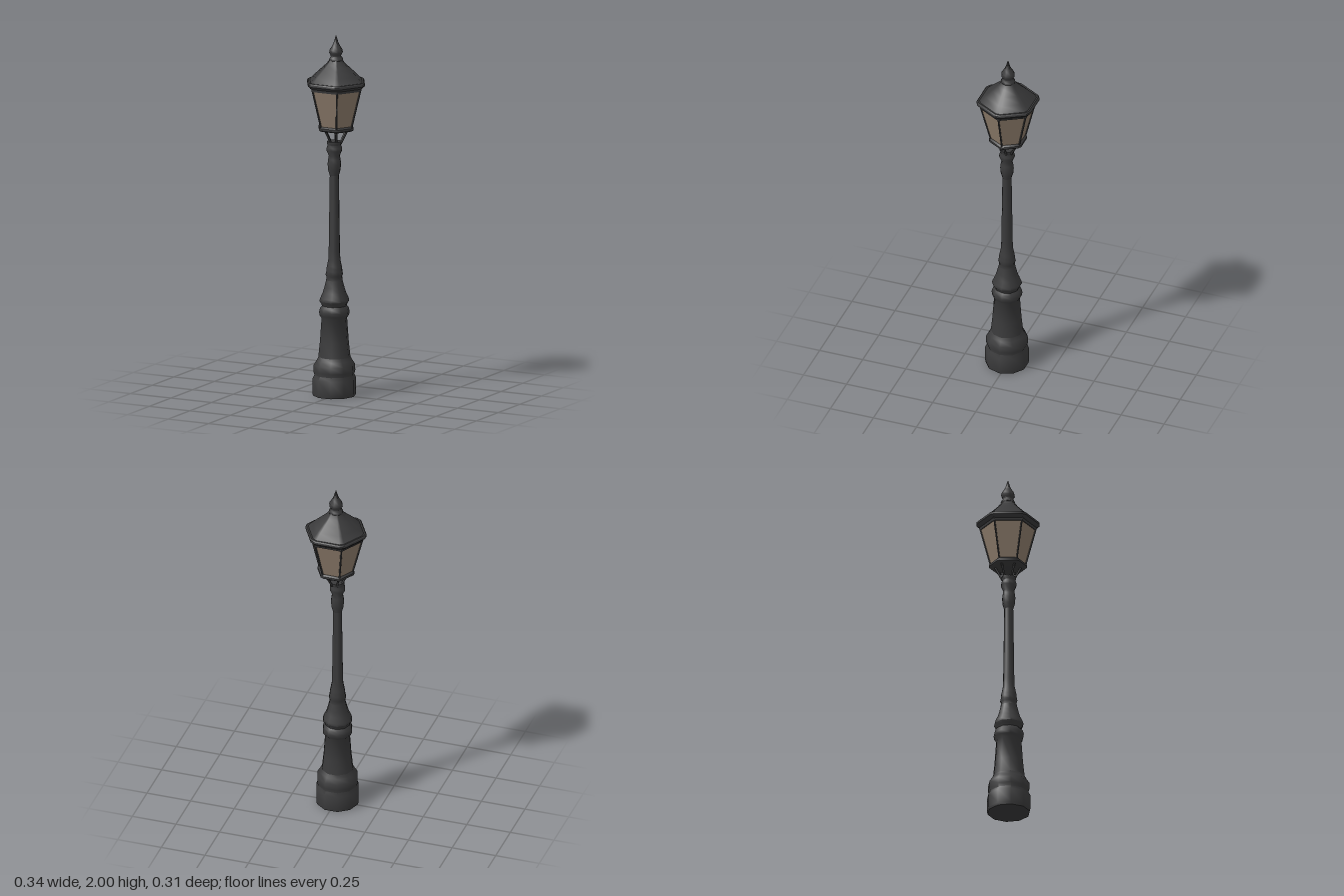
import * as THREE from 'three';
import { toCreasedNormals } from 'three/addons/utils/BufferGeometryUtils.js';

// Regular outline of n points on the unit circle
const ring = (n) => Array.from({ length: n }, (_, i) => {
  const a = (i / n) * Math.PI * 2;
  return [Math.cos(a), Math.sin(a)];
});

// Hexagon whose corners are cut by a small fraction of each side
const cutHex = (cut) => ring(6).flatMap((p, i, hex) => {
  const mix = (q) => [p[0] + (q[0] - p[0]) * cut, p[1] + (q[1] - p[1]) * cut];
  return [mix(hex[(i + 5) % 6]), mix(hex[(i + 1) % 6])];
});

// Skin an outline, scaled along a bottom-to-top profile of [radius, height]
function loft(outline, profile, crease) {
  const n = outline.length, pos = [], index = [];
  for (const [r, y] of profile) for (const [x, z] of outline) pos.push(x * r, y, z * r);
  for (let i = 0; i < profile.length - 1; i++) {
    for (let j = 0; j < n; j++) {
      const a = i * n + j, b = i * n + (j + 1) % n;
      if (profile[i + 1][0] > 0) index.push(a, a + n, b + n);
      if (profile[i][0] > 0) index.push(a, b + n, b);
    }
  }
  const g = new THREE.BufferGeometry();
  g.setAttribute('position', new THREE.Float32BufferAttribute(pos, 3));
  g.setIndex(index);
  return toCreasedNormals(g, crease);
}

export function createModel() {
  const iron = new THREE.MeshStandardMaterial({ color: 0x3a3a3b });
  iron.name = 'darkIron';
  const glass = new THREE.MeshStandardMaterial({ color: 0x8d7c6b });
  glass.name = 'smokedGlass';

  const model = new THREE.Group();
  model.name = 'streetLamp';
  const add = (name, geometry, material, parent = model) => {
    const mesh = new THREE.Mesh(geometry, material);
    mesh.name = name;
    parent.add(mesh);
    return mesh;
  };

  // Round bar between two points
  const bar = (name, from, to, radius, parent) => {
    const a = new THREE.Vector3(...from), b = new THREE.Vector3(...to);
    const mesh = add(name, new THREE.CylinderGeometry(radius, radius, a.distanceTo(b), 6), iron, parent);
    mesh.position.copy(a).add(b).multiplyScalar(0.5);
    mesh.quaternion.setFromUnitVectors(new THREE.Vector3(0, 1, 0), b.sub(a).normalize());
  };

  // Post: plinth, tapered pedestal, shaft and capital
  const post = new THREE.Group();
  post.name = 'post';
  post.position.set(-0.006, 0, 0.008);
  model.add(post);
  const round = ring(10);
  add('plinth', loft(round, [
    [0, 0], [0.117, 0], [0.12, 0.015], [0.12, 0.095], [0.109, 0.115],
    [0.115, 0.135], [0.114, 0.17], [0.098, 0.195], [0.088, 0.215],
  ], 0.9), iron, post);
  add('pedestal', loft(round, [
    [0.088, 0.215], [0.079, 0.3], [0.07, 0.43], [0.081, 0.445], [0.084, 0.465],
    [0.079, 0.485], [0.068, 0.498], [0.072, 0.51], [0.082, 0.525], [0.078, 0.54],
    [0.064, 0.57], [0.055, 0.6], [0.045, 0.64],
  ], 0.9), iron, post);
  add('shaft', loft(round, [
    [0.045, 0.64], [0.043, 0.66], [0.048, 0.67], [0.044, 0.69], [0.043, 0.705],
    [0.04, 0.72], [0.033, 0.755], [0.031, 0.8], [0.025, 1.22],
  ], 0.9), iron, post);
  add('capital', loft(round, [
    [0.025, 1.22], [0.034, 1.25], [0.037, 1.285], [0.034, 1.31], [0.03, 1.33],
    [0.043, 1.36], [0.042, 1.375], [0.036, 1.39], [0.041, 1.4], [0.04, 1.41], [0, 1.413],
  ], 0.9), iron, post);

  // Lantern: six-sided, with a corner on the x axis
  const lantern = new THREE.Group();
  lantern.name = 'lantern';
  model.add(lantern);
  const hex = ring(6), softHex = cutHex(0.09);
  add('lanternFloor', loft(softHex, [
    [0, 1.472], [0.1, 1.472], [0.108, 1.478], [0.108, 1.49], [0.098, 1.498], [0, 1.498],
  ], 0.7), iron, lantern);
  add('glassPanes', loft(hex, [[0.094, 1.492], [0.152, 1.715]], 0.3), glass, lantern);
  add('topFrame', loft(hex, [[0.149, 1.698], [0.154, 1.698], [0.158, 1.715]], 0.5), iron, lantern);
  for (const [x, z] of hex) {
    bar('cornerBar', [x * 0.095, 1.49, z * 0.095], [x * 0.154, 1.718, z * 0.154], 0.005, lantern);
    bar('supportLeg', [x * 0.028, 1.395, z * 0.028], [x * 0.072, 1.478, z * 0.072], 0.006, lantern);
  }

  // Roof with a rolled eave
  add('eave', loft(softHex, [
    [0, 1.712], [0.156, 1.712], [0.164, 1.714], [0.17, 1.722], [0.179, 1.728],
    [0.179, 1.74], [0.172, 1.746], [0.162, 1.745],
  ], 0.8), iron, lantern);
  add('roof', loft(softHex, [
    [0.162, 1.745], [0.128, 1.777], [0.09, 1.81], [0.058, 1.838], [0.042, 1.857], [0.036, 1.868],
  ], 1.1), iron, lantern);

  // Finial
  add('finial', loft(ring(8), [
    [0.036, 1.855], [0.041, 1.862], [0.036, 1.872], [0.029, 1.882], [0.032, 1.892],
    [0.039, 1.903], [0.036, 1.918], [0.023, 1.938], [0.014, 1.955], [0.009, 1.972], [0, 2],
  ], 1.1), iron, lantern);

  return model;
}
